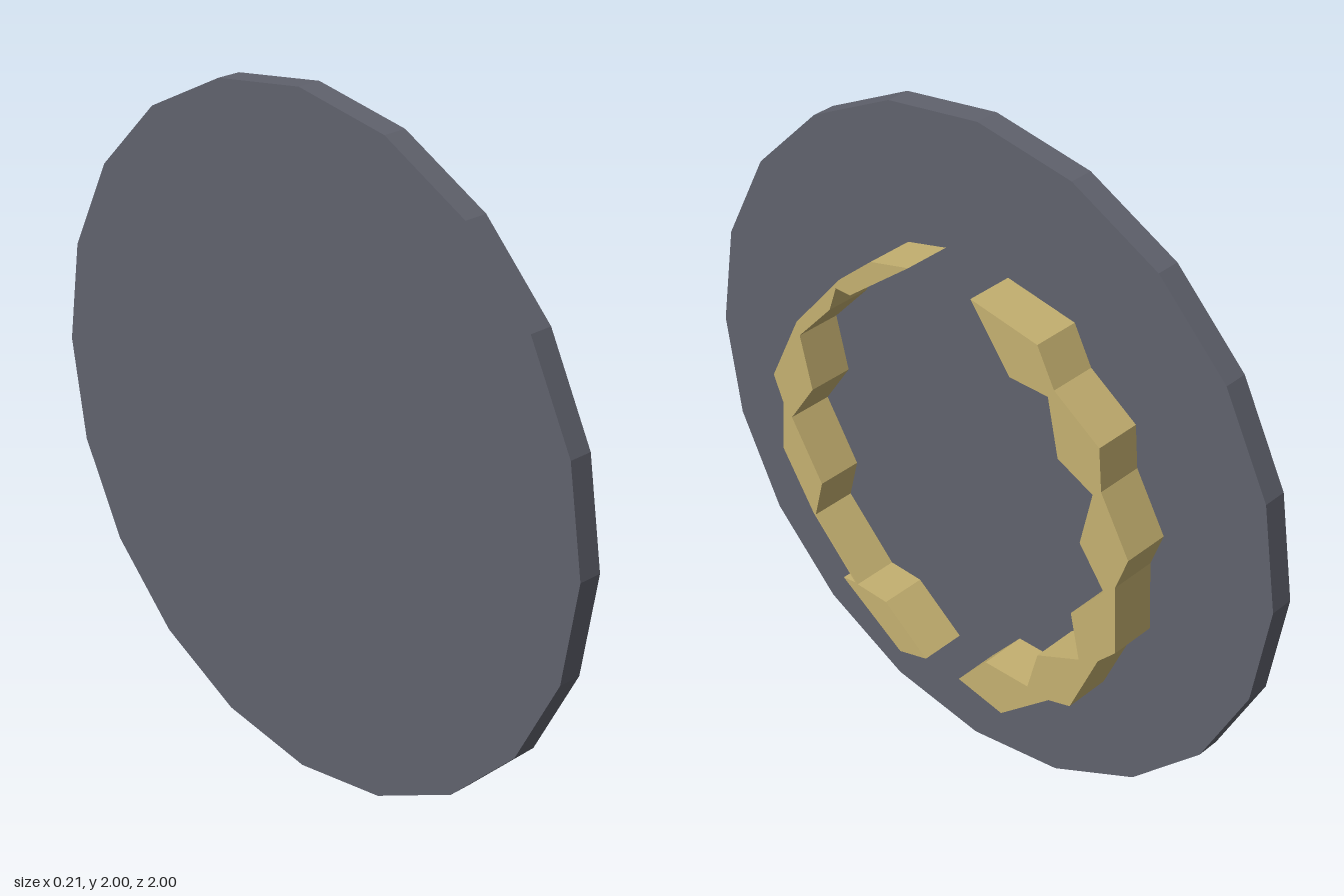
import * as THREE from 'three';

const DISC_BACK = -0.105, DISC_FRONT = -0.035, RELIEF_FRONT = 0.105;

// Branch outlines as [z, y]: down the outer edge, then up the inner edge
const branchFront = [
  [0.11, 1.597], [0.246, 1.56], [0.364, 1.458], [0.54, 1.25], [0.645, 1.03], [0.61, 0.95],
  [0.62, 0.79], [0.505, 0.616], [0.343, 0.452], [0.39, 0.445], [0.166, 0.297], [0.064, 0.327],
  [0.22, 0.447], [0.333, 0.45], [0.497, 0.616], [0.466, 0.74], [0.578, 0.916], [0.488, 1.05],
  [0.53, 1.21], [0.407, 1.345], [0.38, 1.424], [0.327, 1.424],
];
const branchBack = [
  [-0.107, 1.597], [-0.332, 1.56], [-0.39, 1.452], [-0.541, 1.35], [-0.552, 1.222], [-0.648, 1.056],
  [-0.61, 0.95], [-0.62, 0.74], [-0.563, 0.68], [-0.472, 0.47], [-0.397, 0.447], [-0.225, 0.297],
  [-0.064, 0.327], [-0.166, 0.447], [-0.32, 0.45], [-0.354, 0.58], [-0.498, 0.648], [-0.466, 0.788],
  [-0.573, 0.916], [-0.488, 1.03], [-0.525, 1.2], [-0.407, 1.254], [-0.37, 1.424], [-0.241, 1.424],
];

export function createModel() {
  const model = new THREE.Group();
  model.name = 'wreathMedallion';
  const slate = new THREE.MeshStandardMaterial({ color: 0x60626d, flatShading: true });
  const gold = new THREE.MeshStandardMaterial({ color: 0xc4b070, flatShading: true });

  // Twenty-sided disc standing on its rim, axis along x
  const discGeometry = new THREE.CylinderGeometry(1, 1, DISC_FRONT - DISC_BACK, 20);
  discGeometry.rotateZ(-Math.PI / 2);
  const disc = new THREE.Mesh(discGeometry, slate);
  disc.name = 'disc';
  disc.position.set((DISC_BACK + DISC_FRONT) / 2, 1, 0);
  model.add(disc);

  // Raised branches, rooted inside the disc
  const wreath = new THREE.Group();
  wreath.name = 'wreath';
  const root = DISC_BACK + 0.005;
  const addBranch = (name, outline) => {
    const shape = new THREE.Shape(outline.map(([z, y]) => new THREE.Vector2(-z, y)));
    const geometry = new THREE.ExtrudeGeometry(shape, { depth: RELIEF_FRONT - root, bevelEnabled: false });
    geometry.rotateY(Math.PI / 2);
    geometry.translate(root, 0, 0);
    const branch = new THREE.Mesh(geometry, gold);
    branch.name = name;
    wreath.add(branch);
  };
  addBranch('frontBranch', branchFront);
  addBranch('backBranch', branchBack);
  model.add(wreath);

  return model;
}
